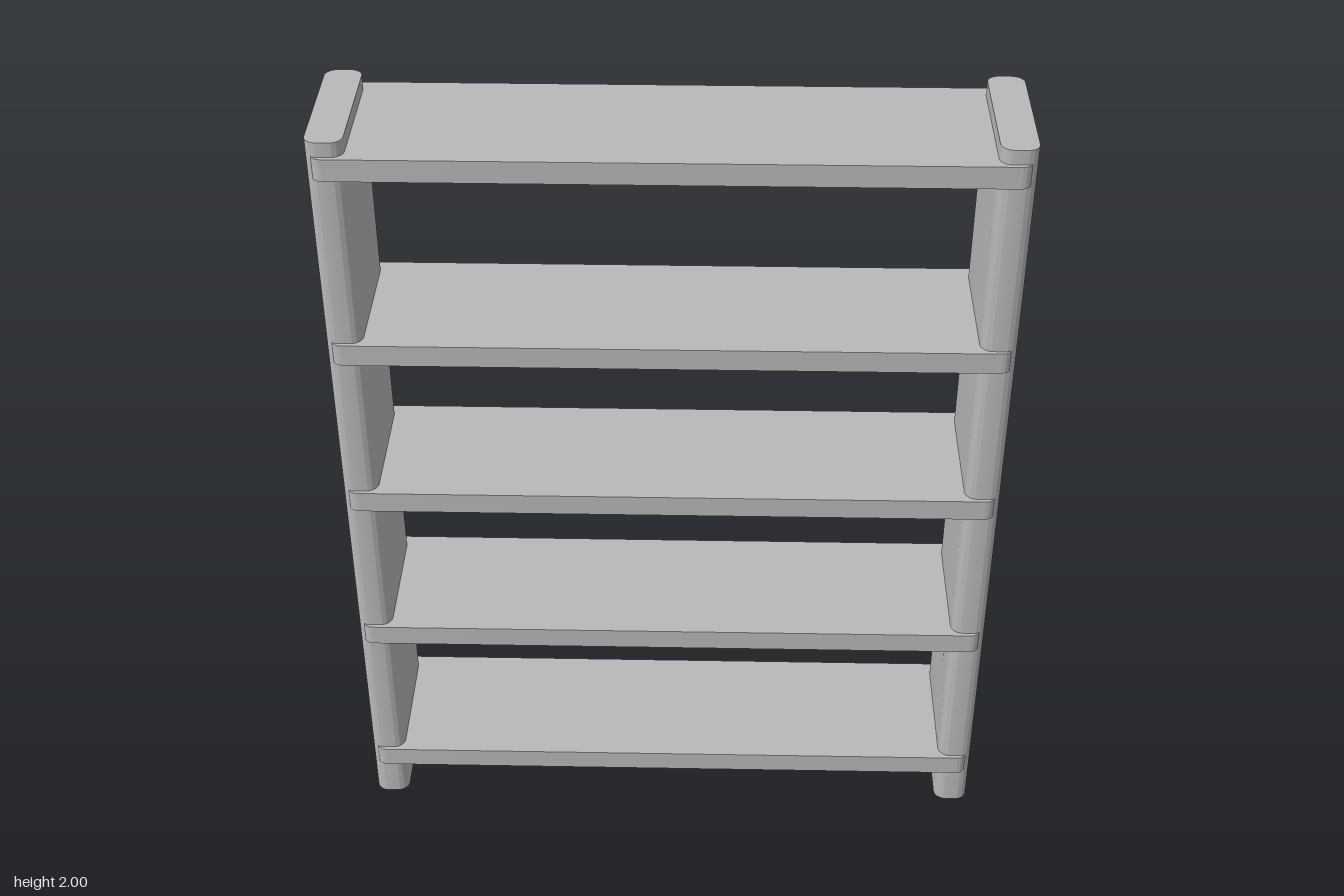
import * as THREE from 'three';
import { toCreasedNormals } from 'three/addons/utils/BufferGeometryUtils.js';

// Upright slab with rounded vertical edges, standing on y = 0
function roundedSlab(width, height, depth, r) {
  const x = width / 2, z = depth / 2;
  const s = new THREE.Shape();
  s.moveTo(-x + r, -z);
  s.lineTo(x - r, -z);
  s.absarc(x - r, -z + r, r, -Math.PI / 2, 0);
  s.lineTo(x, z - r);
  s.absarc(x - r, z - r, r, 0, Math.PI / 2);
  s.lineTo(-x + r, z);
  s.absarc(-x + r, z - r, r, Math.PI / 2, Math.PI);
  s.lineTo(-x, -z + r);
  s.absarc(-x + r, -z + r, r, Math.PI, Math.PI * 1.5);
  const geo = new THREE.ExtrudeGeometry(s, { depth: height, bevelEnabled: false, curveSegments: 10 });
  geo.rotateX(-Math.PI / 2);
  return toCreasedNormals(geo, Math.PI / 6);
}

export function createModel() {
  const model = new THREE.Group();
  model.name = 'shelfUnit';
  const grey = new THREE.MeshStandardMaterial({ color: 0xb8b8b8 });
  grey.name = 'grey';

  // Side panels
  const panelGeo = roundedSlab(0.087, 2, 0.354, 0.03);
  for (const side of [-1, 1]) {
    const panel = new THREE.Mesh(panelGeo, grey);
    panel.name = side > 0 ? 'leftPanel' : 'rightPanel';
    panel.position.x = side * 0.764;
    model.add(panel);
  }

  // Shelves, slightly deeper than the panels and let into them
  const shelfGeo = roundedSlab(1.59, 0.055, 0.374, 0.025);
  [0.109, 0.547, 0.983, 1.418, 1.909].forEach((y, i) => {
    const shelf = new THREE.Mesh(shelfGeo, grey);
    shelf.name = `shelf${i + 1}`;
    shelf.position.y = y;
    model.add(shelf);
  });

  return model;
}
